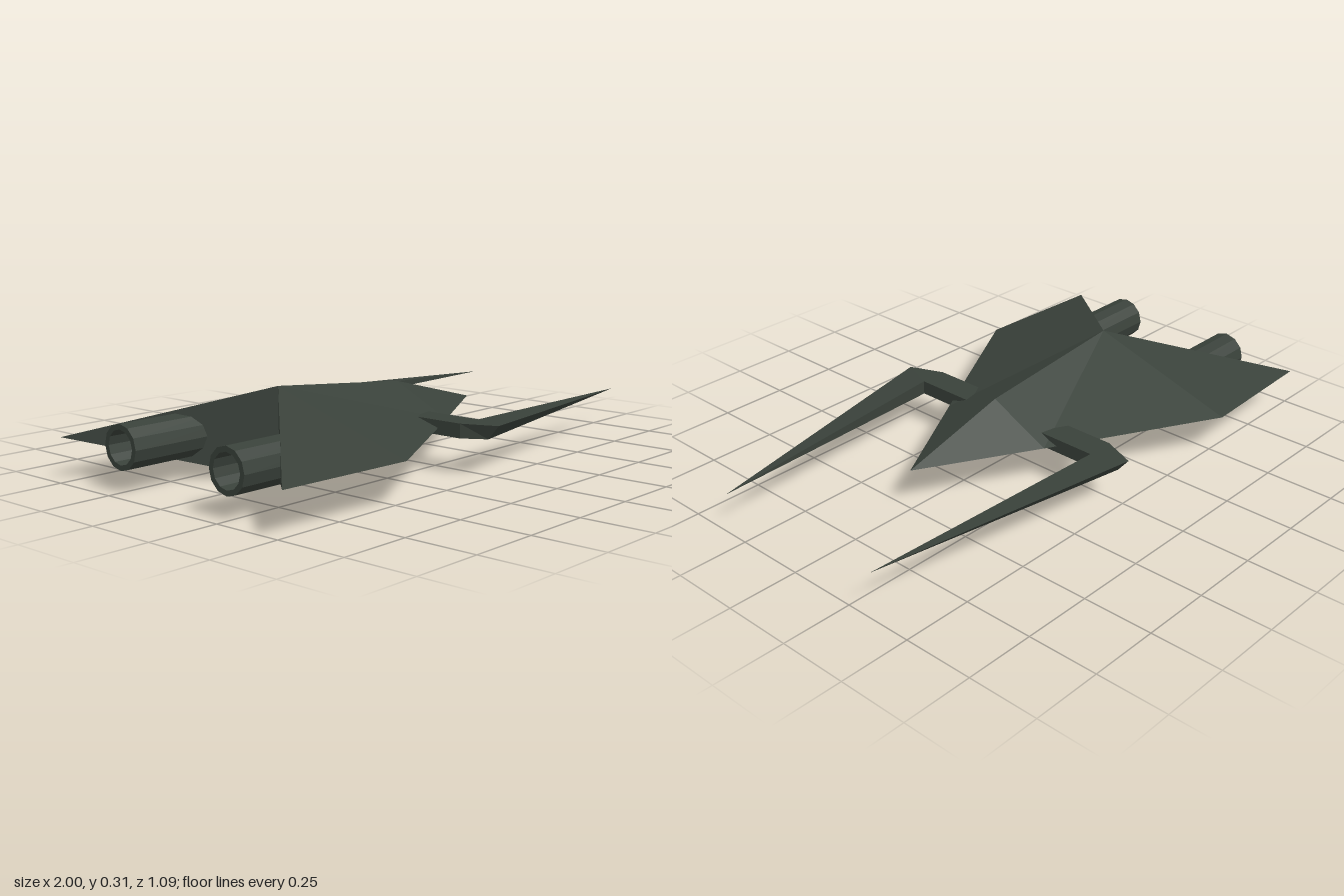
import * as THREE from 'three';

const darkGreen = new THREE.MeshStandardMaterial({ color: 0x39413a });
darkGreen.name = 'dark green grey';

// Flat-faced solid from named corners and faces; side = -1 mirrors it in z.
function facetedMesh(name, corners, faces, side) {
  const position = [];
  for (const face of faces) {
    for (let i = 1; i < face.length - 1; i++) {
      const tri = [face[0], face[i], face[i + 1]];
      if (side < 0) tri.reverse();
      for (const key of tri) {
        const [x, y, z] = corners[key];
        position.push(x, y, z * side);
      }
    }
  }
  const geometry = new THREE.BufferGeometry();
  geometry.setAttribute('position', new THREE.Float32BufferAttribute(position, 3));
  geometry.computeVertexNormals();
  const mesh = new THREE.Mesh(geometry, darkGreen);
  mesh.name = name;
  return mesh;
}

// Half of the arrow-shaped hull, with its swept wing
function hullHalf(side) {
  const corners = {
    nose: [0.5, 0.147, 0],
    top1: [0.09, 0.255, 0], low1: [0.09, 0.112, 0], edge1: [0.09, 0.145, 0.226],
    top2: [-0.5, 0.312, 0], low2: [-0.5, 0, 0], edge2: [-0.5, 0.145, 0.545],
    tip: side > 0 ? [-1, 0.145, 0.52] : [-0.975, 0.145, 0.525],
  };
  const faces = [
    ['top1', 'edge1', 'nose'], ['top2', 'edge2', 'edge1', 'top1'], ['top2', 'tip', 'edge2'],
    ['low1', 'nose', 'edge1'], ['low2', 'low1', 'edge1', 'edge2'], ['low2', 'edge2', 'tip'],
    ['top2', 'low2', 'tip'],
  ];
  return facetedMesh(side > 0 ? 'rightHull' : 'leftHull', corners, faces, side);
}

// Bent arm ending in a long forward spike
function prong(side) {
  const yTop = 0.172, yLow = 0.122;
  const tip = side > 0 ? [1, 0.147, 0.327] : [0.985, 0.147, 0.333];
  const outline = { a: [-0.05, 0.16], f: [-0.05, 0.395], e: [0, 0.517], c: [0.05, 0.395], b: [0.05, 0.16] };
  const corners = { dT: tip, dB: tip };
  for (const [key, [x, z]] of Object.entries(outline)) {
    corners[key + 'T'] = [x, yTop, z];
    corners[key + 'B'] = [x, yLow, key === 'e' ? 0.475 : z];
  }
  const caps = ['afcb', 'fec', 'ced'];
  const faces = [];
  for (const cap of caps) {
    faces.push([...cap].map((k) => k + 'T'), [...cap].reverse().map((k) => k + 'B'));
  }
  const loop = 'afedcb';
  for (let i = 0; i < loop.length; i++) {
    const p = loop[i], q = loop[(i + 1) % loop.length];
    if (p === 'd') faces.push(['dT', q + 'B', q + 'T']);
    else if (q === 'd') faces.push([p + 'T', p + 'B', 'dT']);
    else faces.push([p + 'T', p + 'B', q + 'B', q + 'T']);
  }
  return facetedMesh(side > 0 ? 'rightProng' : 'leftProng', corners, faces, side);
}

// Hollow exhaust tube, open at the rear
function engine(side) {
  const profile = [[0, 0], [0.076, 0], [0.076, 0.4], [0.058, 0.4], [0.058, 0.2], [0, 0.2]]
    .map(([r, h]) => new THREE.Vector2(r, h));
  const geometry = new THREE.LatheGeometry(profile, 12).toNonIndexed();
  geometry.computeVertexNormals();
  geometry.rotateZ(Math.PI / 2);
  const mesh = new THREE.Mesh(geometry, darkGreen);
  mesh.name = side > 0 ? 'rightEngine' : 'leftEngine';
  mesh.position.set(-0.55, 0.146, side > 0 ? 0.241 : -0.248);
  return mesh;
}

export function createModel() {
  const model = new THREE.Group();
  model.name = 'spacecraft';
  for (const side of [1, -1]) model.add(hullHalf(side), prong(side), engine(side));
  return model;
}
